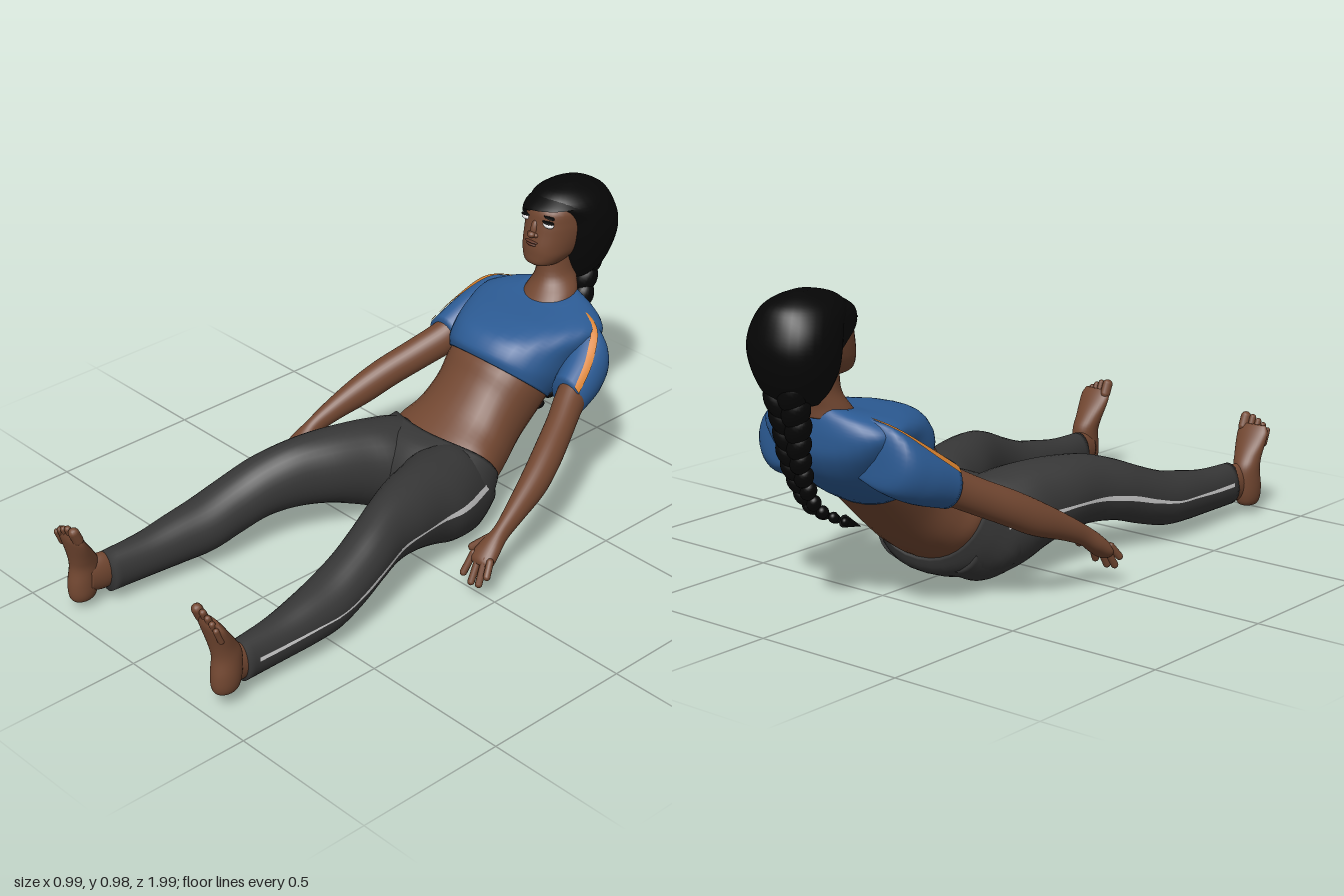
import * as THREE from 'three';

const mat = (name, color, side = THREE.FrontSide) => {
  const m = new THREE.MeshStandardMaterial({ color, side });
  m.name = name;
  return m;
};

// Interpolated cross-section: [x, halfWidth, zFront, yFront, zBack, yBack, bowZ, bowY]
function sectionAt(secs, t) {
  const n = secs.length - 1, f = Math.min(Math.max(t, 0), 1) * n;
  const i = Math.min(Math.floor(f), n - 1), u = f - i;
  const g = (k, j) => secs[Math.min(Math.max(k, 0), n)][j] ?? 0;
  return Array.from({ length: 8 }, (_, j) => {
    const a = g(i - 1, j), b = g(i, j), c = g(i + 1, j), d = g(i + 2, j);
    return b + 0.5 * u * (c - a + u * (2 * a - 5 * b + 4 * c - d + u * (3 * (b - c) + d - a)));
  });
}

// Point on the skin of a limb; angle 0 is the side, 90 degrees the front or top
function surface(secs, t, angle, power, lift = 0) {
  const [x, w, zf, yf, zb, yb, bz, by] = sectionAt(secs, t);
  const pw = (v) => Math.sign(v) * Math.abs(v) ** power;
  const c = pw(Math.cos(angle)), s = pw(Math.sin(angle));
  const out = new THREE.Vector3(w * c, (yf - yb) / 2 * s, (zf - zb) / 2 * s);
  out.addScaledVector(out.clone().normalize(), lift);
  return out.add(new THREE.Vector3(x, (yf + yb) / 2 + by * c * c, (zf + zb) / 2 + bz * c * c));
}

// Closed smooth loft through the cross-sections
function loft(secs, power = 1, rows = secs.length * 4, cols = 32) {
  const pos = [], idx = [];
  for (let r = 0; r <= rows; r++)
    for (let c = 0; c < cols; c++)
      pos.push(...surface(secs, r / rows, c / cols * Math.PI * 2, power).toArray());
  const mid = (s) => new THREE.Vector3(s[0], (s[3] + s[5]) / 2, (s[2] + s[4]) / 2);
  const first = secs[0], last = secs[secs.length - 1];
  const a = mid(first), b = mid(last);
  pos.push(...a.toArray(), ...b.toArray());
  const cross = new THREE.Vector3(first[1], 0, 0)
    .cross(new THREE.Vector3(0, first[3] - first[5], first[2] - first[4]));
  const flip = cross.dot(b.clone().sub(a)) < 0;
  const tri = (p, q, r) => (flip ? idx.push(p, r, q) : idx.push(p, q, r));
  const A = (rows + 1) * cols;
  for (let c = 0; c < cols; c++) {
    const d = (c + 1) % cols;
    for (let r = 0; r < rows; r++) {
      const o = r * cols, p = o + cols;
      tri(o + c, o + d, p + d);
      tri(o + c, p + d, p + c);
    }
    tri(A, d, c);
    tri(A + 1, rows * cols + c, rows * cols + d);
  }
  const geo = new THREE.BufferGeometry();
  geo.setAttribute('position', new THREE.Float32BufferAttribute(pos, 3));
  geo.setIndex(idx);
  geo.computeVertexNormals();
  return geo;
}

// Thin sheet lying just over a loft; map(u, v) gives [t, angle]
function patch(secs, power, lift, map, nu = 40, nv = 8) {
  const geo = new THREE.PlaneGeometry(1, 1, nu, nv), p = geo.attributes.position;
  for (let i = 0; i < p.count; i++) {
    const [t, angle] = map(p.getX(i) + 0.5, p.getY(i) + 0.5);
    p.setXYZ(i, ...surface(secs, t, angle, power, lift).toArray());
  }
  geo.computeVertexNormals();
  return geo;
}

export function createModel() {
  const model = new THREE.Group();
  const skin = mat('brown skin', 0x724731), lip = mat('lip', 0x613728);
  const hair = mat('black hair', 0x060606), hairSheet = mat('black fringe', 0x060606, THREE.DoubleSide);
  const blue = mat('blue shirt', 0x2c5b94), grey = mat('dark grey leggings', 0x373737);
  const orange = mat('orange stripe', 0xd9822f, THREE.DoubleSide);
  const pale = mat('pale stripe', 0xd4d4d4, THREE.DoubleSide), white = mat('eye white', 0xf6f6f6);

  const add = (name, geo, material, parent = model) => {
    const m = new THREE.Mesh(geo, material);
    m.name = name;
    parent.add(m);
    return m;
  };
  const ball = (name, p, r, material, rz = 0, parent = model) => {
    const m = add(name, new THREE.SphereGeometry(1, 20, 14), material, parent);
    m.position.set(...p);
    m.scale.set(...r);
    m.rotation.z = rz;
    return m;
  };
  const rod = (name, from, to, r, material) => {
    const a = new THREE.Vector3(...from), d = new THREE.Vector3(...to).sub(a), len = d.length();
    const m = add(name, new THREE.CapsuleGeometry(r, Math.max(len - r, 0.001), 5, 10), material);
    m.position.copy(a).addScaledVector(d, 0.5);
    m.quaternion.setFromUnitVectors(new THREE.Vector3(0, 1, 0), d.normalize());
  };

  // Torso
  add('midriff', loft([
    [0, .195, -.15, .27, -.31, .08, -.02, .03], [0, .205, -.20, .312, -.343, .085, -.02, .03],
    [0, .185, -.285, .375, -.42, .135], [0, .17, -.35, .445, -.50, .20],
    [0, .178, -.398, .505, -.61, .305], [0, .165, -.47, .53, -.68, .37]], .9), skin);
  add('hips', loft([
    [0, .213, -.18, .32, -.345, .08, -.02, .035], [0, .235, -.11, .305, -.325, .035, -.005, .02],
    [0, .25, -.055, .24, -.25, .008], [0, .21, -.035, .14, -.15, .018], [0, .07, -.04, .08, -.09, .045]], .9), grey);
  add('shirt', loft([
    [0, .183, -.393, .51, -.62, .315], [0, .20, -.393, .54, -.70, .36], [0, .213, -.435, .582, -.77, .42],
    [0, .235, -.52, .602, -.81, .49], [0, .235, -.60, .61, -.815, .55],
    [0, .18, -.64, .614, -.81, .605], [0, .10, -.65, .615, -.80, .64]], .88), blue);
  add('neck', loft([
    [0, .098, -.635, .595, -.82, .61], [0, .085, -.665, .628, -.825, .645],
    [-.01, .06, -.70, .68, -.84, .70], [-.015, .058, -.71, .77, -.85, .78]]), skin);

  // Limbs, mirrored for each side
  for (const s of [1, -1]) {
    const side = s > 0 ? 'left' : 'right';
    const mirror = (secs, dx = 0) => secs.map(([x, w, ...rest]) => [s * x + dx, s * w, ...rest]);

    const sleeve = mirror([
      [.10, .10, -.735, .622, -.745, .46], [.20, .092, -.705, .597, -.735, .41],
      [.25, .078, -.62, .535, -.67, .37], [.277, .063, -.53, .475, -.56, .337]], -.012);
    add(side + 'Sleeve', loft(sleeve), blue);
    add(side + 'SleeveStripe', patch(sleeve, 1, .004, (u, v) => [.14 + u * .84, 1.2 - u * .65 + v * .34]), orange);

    add(side + 'Arm', loft(mirror([
      [.255, .045, -.62, .52, -.66, .40], [.285, .052, -.525, .46, -.56, .35],
      [.325, .051, -.44, .41, -.47, .305], [.365, .05, -.34, .36, -.38, .26],
      [.395, .045, -.25, .31, -.29, .215], [.42, .033, -.15, .25, -.18, .18],
      [.433, .026, -.08, .205, -.105, .15], [.435, .038, -.03, .17, -.06, .12],
      [.435, .045, .008, .135, -.03, .10], [.437, .036, .014, .115, -.015, .09]], -.004)), skin);
    [[.400, .39, .065, .03], [.424, .43, .052, .036], [.448, .461, .056, .034], [.470, .486, .09, .025]]
      .forEach(([x, tx, ty, tz]) => rod(side + 'Finger', [s * x, .135, -.008], [s * tx, ty, tz], .0115, skin));
    rod(side + 'Thumb', [s * .415, .17, -.065], [s * .368, .125, -.025], .0135, skin);

    // The right leg stands a little closer to the middle
    const leg = mirror([
      [.11, .10, -.27, .25, -.31, .05], [.125, .12, -.20, .31, -.22, .002], [.14, .14, -.10, .33, -.10, .02],
      [.167, .12, 0, .34, 0, .06], [.195, .107, .10, .34, .10, .095], [.225, .09, .20, .33, .20, .108],
      [.258, .086, .30, .30, .30, .10], [.28, .085, .40, .26, .40, .07], [.293, .085, .50, .225, .50, .045],
      [.303, .074, .60, .205, .60, .04], [.31, .06, .72, .185, .72, .04], [.317, .048, .855, .18, .855, .04]],
    s > 0 ? 0 : .01);
    add(side + 'Legging', loft(leg), grey);
    add(side + 'LegStripe', patch(leg, 1, .002, (u, v) => [
      .02 + u * .95, (1 - .5 * u) * (.03 + .25 * Math.cos(u * 6.28)) + (v - .5) * (.12 + .05 * Math.sin(u * 14))], 80, 2), pale);

    // Foot with the sole facing forward
    const dy = s * .011;
    add(side + 'Ankle', loft(mirror([
      [.318, .036, .82, .165, .82, .055], [.32, .036, .87, .175, .87, .05], [.325, .034, .92, .17, .92, .06]])), skin);
    add(side + 'Foot', loft(mirror([
      [.338, .010, .942, .038, .918, .038], [.338, .028, .964, .046, .89, .046], [.338, .038, .973, .07, .878, .07],
      [.338, .042, .972, .11, .872, .11], [.336, .043, .963, .16, .872, .17], [.332, .047, .967, .20, .892, .21],
      [.329, .055, .978, .25, .922, .255], [.328, .056, .984, .28, .942, .285], [.327, .045, .983, .303, .958, .305]])), skin)
      .position.y = dy;
    [[.288, .017, .338], [.315, .011, .333], [.336, .0105, .323], [.355, .010, .312], [.372, .0095, .297]]
      .forEach(([x, r, top]) => rod(side + 'Toe', [s * x, top - .055 + dy, .962], [s * x, top - r / 2 + dy, .982], r, skin));
  }

  // Head and face
  const X = -.018;
  const head = [
    [X, .03, -.675, .728, -.74, .722], [X, .052, -.658, .742, -.78, .728], [X, .074, -.656, .77, -.84, .76],
    [X, .085, -.657, .80, -.90, .80], [X, .092, -.665, .84, -.93, .84], [X, .093, -.672, .875, -.93, .875],
    [X, .088, -.685, .92, -.92, .92], [X, .058, -.74, .955, -.88, .95]];
  add('head', loft(head, .87), skin);
  ball('noseBridge', [X, .856, -.677], [.014, .034, .017], skin).rotation.x = -.25;
  ball('noseTip', [X, .84, -.661], [.014, .011, .014], skin);
  ball('upperLip', [X, .815, -.661], [.026, .0045, .009], lip);
  ball('lowerLip', [X, .806, -.662], [.021, .005, .010], lip);
  for (const s of [1, -1]) {
    ball('nostril', [X + s * .012, .838, -.669], [.010, .008, .010], skin);
    ball('eye', [X + s * .046, .879, -.688], [.020, .0095, .014], white, -s * .08);
    ball('eyelash', [X + s * .046, .889, -.686], [.022, .0035, .014], hair, -s * .1);
    ball('eyebrow', [X + s * .046, .905, -.690], [.022, .003, .012], hair, -s * .12);
  }

  // Hair: cap, side-swept fringe and braid
  add('hairCap', loft([
    [-.01, .06, -.80, .655, -.90, .66], [-.015, .095, -.775, .70, -.945, .69], [-.02, .122, -.755, .76, -.98, .75],
    [-.02, .135, -.748, .82, -.995, .82], [-.02, .130, -.738, .88, -.985, .88], [-.02, .107, -.705, .93, -.96, .935],
    [-.02, .07, -.735, .963, -.92, .963], [-.02, .025, -.80, .98, -.87, .98]], .9), hair);
  add('fringe', patch(head, .87, .014, (u, v) => {
    const low = .88 - .4 * u ** 4;
    return [low + (1 - low) * v, u * Math.PI];
  }), hairSheet);

  const path = new THREE.CatmullRomCurve3([
    [-.02, .70, -.91], [-.01, .60, -.88], [.01, .50, -.85], [.03, .40, -.80],
    [.045, .32, -.74], [.05, .265, -.65], [.05, .225, -.56]].map((p) => new THREE.Vector3(...p)));
  const braid = new THREE.Group();
  braid.name = 'braid';
  model.add(braid);
  const up = new THREE.Vector3(0, 1, 0);
  for (let i = 0; i < 22; i++) {
    const t = i / 22, r = .052 * (1 - t) + .014, s = i % 2 ? 1 : -1;
    const p = path.getPointAt(t);
    const lobe = ball('braidLobe', [p.x + s * r * .45, p.y, p.z], [r * .66, r * .95, r * .7], hair, 0, braid);
    lobe.quaternion.setFromUnitVectors(up, path.getTangentAt(t).negate())
      .multiply(new THREE.Quaternion().setFromAxisAngle(new THREE.Vector3(0, 0, 1), -s * .5));
  }
  const tip = add('braidTip', new THREE.ConeGeometry(.02, .08, 10), hair, braid);
  tip.position.copy(path.getPointAt(.98));
  tip.quaternion.setFromUnitVectors(up, path.getTangentAt(1));
  return model;
}
